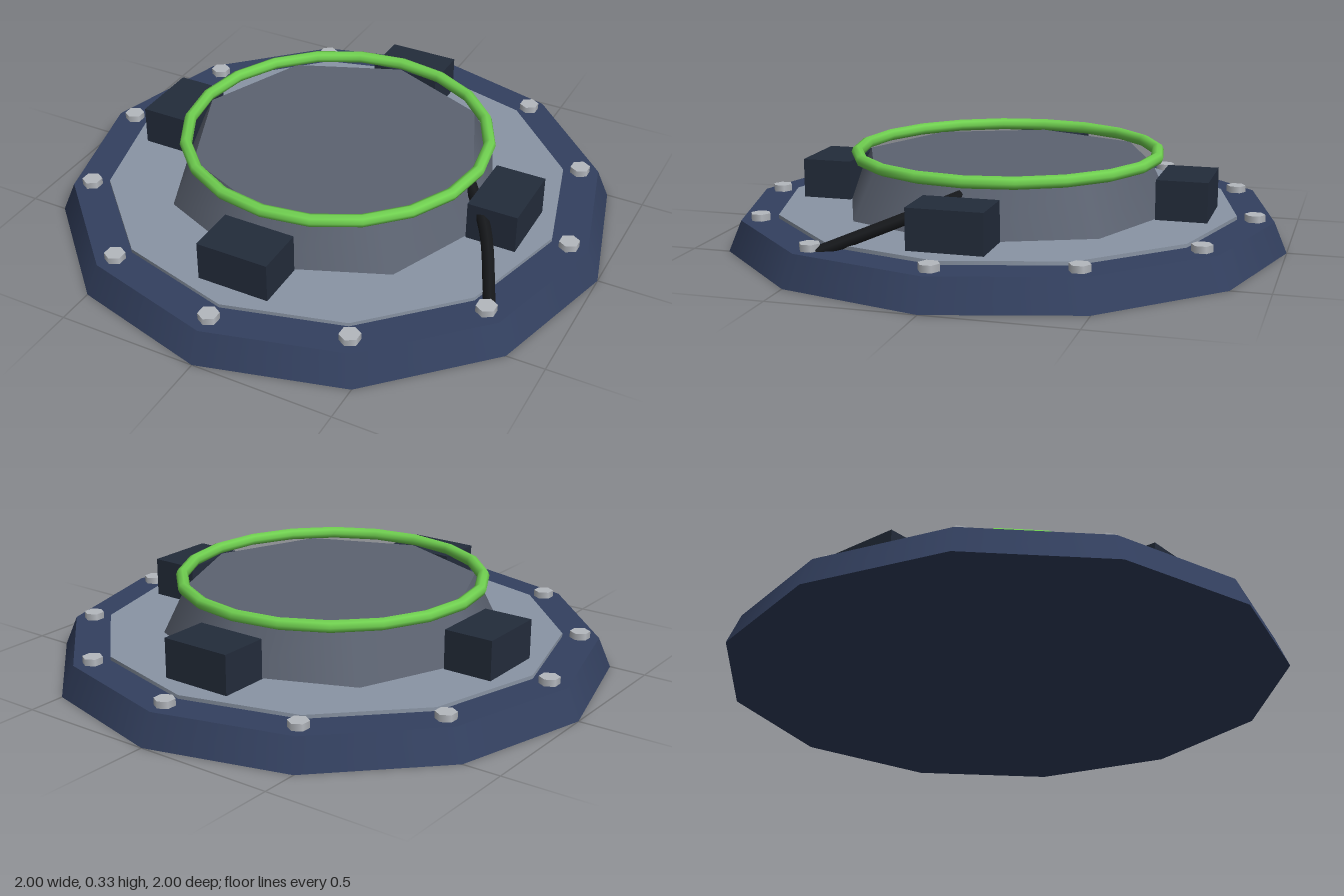
import * as THREE from 'three';

export function createModel() {
  const model = new THREE.Group();
  const paint = (color) => new THREE.MeshStandardMaterial({ color });
  const navy = paint(0x33405f), steel = paint(0x8a95a5), slate = paint(0x5c6371);
  const dark = paint(0x232c3b), silver = paint(0xb4b8be), green = paint(0x70d050), black = paint(0x16181b);

  const add = (name, geometry, material, x = 0, y = 0, z = 0) => {
    const mesh = new THREE.Mesh(geometry, material);
    mesh.name = name;
    mesh.position.set(x, y, z);
    model.add(mesh);
    return mesh;
  };
  // Tapered prism standing on y = bottom
  const prism = (name, rTop, rBottom, bottom, top, sides, material) =>
    add(name, new THREE.CylinderGeometry(rTop, rBottom, top - bottom, sides), material, 0, (bottom + top) / 2, 0);

  // Stacked body
  prism('base', 0.955, 1, 0, 0.107, 12, navy);
  prism('deckPlate', 0.825, 0.825, 0.09, 0.12, 12, steel);
  prism('drum', 0.525, 0.61, 0.115, 0.29, 8, slate);

  // Glowing ring around the top of the drum
  add('ring', new THREE.TorusGeometry(0.54, 0.022, 8, 20), green, 0, 0.308, 0).rotation.x = Math.PI / 2;

  // Four clamp blocks
  const block = new THREE.BoxGeometry(0.26, 0.145, 0.18);
  for (let i = 0; i < 4; i++) {
    const a = i * Math.PI / 2;
    add('clampBlock', block, dark, Math.sin(a) * 0.65, 0.188, Math.cos(a) * 0.65).rotation.y = a;
  }

  // Hex bolts around the rim
  const bolt = new THREE.CylinderGeometry(0.036, 0.036, 0.028, 6);
  for (let i = 0; i < 12; i++) {
    const a = i * Math.PI / 6;
    add('bolt', bolt, silver, Math.sin(a) * 0.887, 0.117, Math.cos(a) * 0.887);
  }

  // Cable from the drum down to the rim
  const path = new THREE.CatmullRomCurve3([
    new THREE.Vector3(0.51, 0.26, 0),
    new THREE.Vector3(0.64, 0.2, 0.16),
    new THREE.Vector3(0.77, 0.1, 0.42),
  ]);
  add('cable', new THREE.TubeGeometry(path, 12, 0.022, 6), black);

  return model;
}
